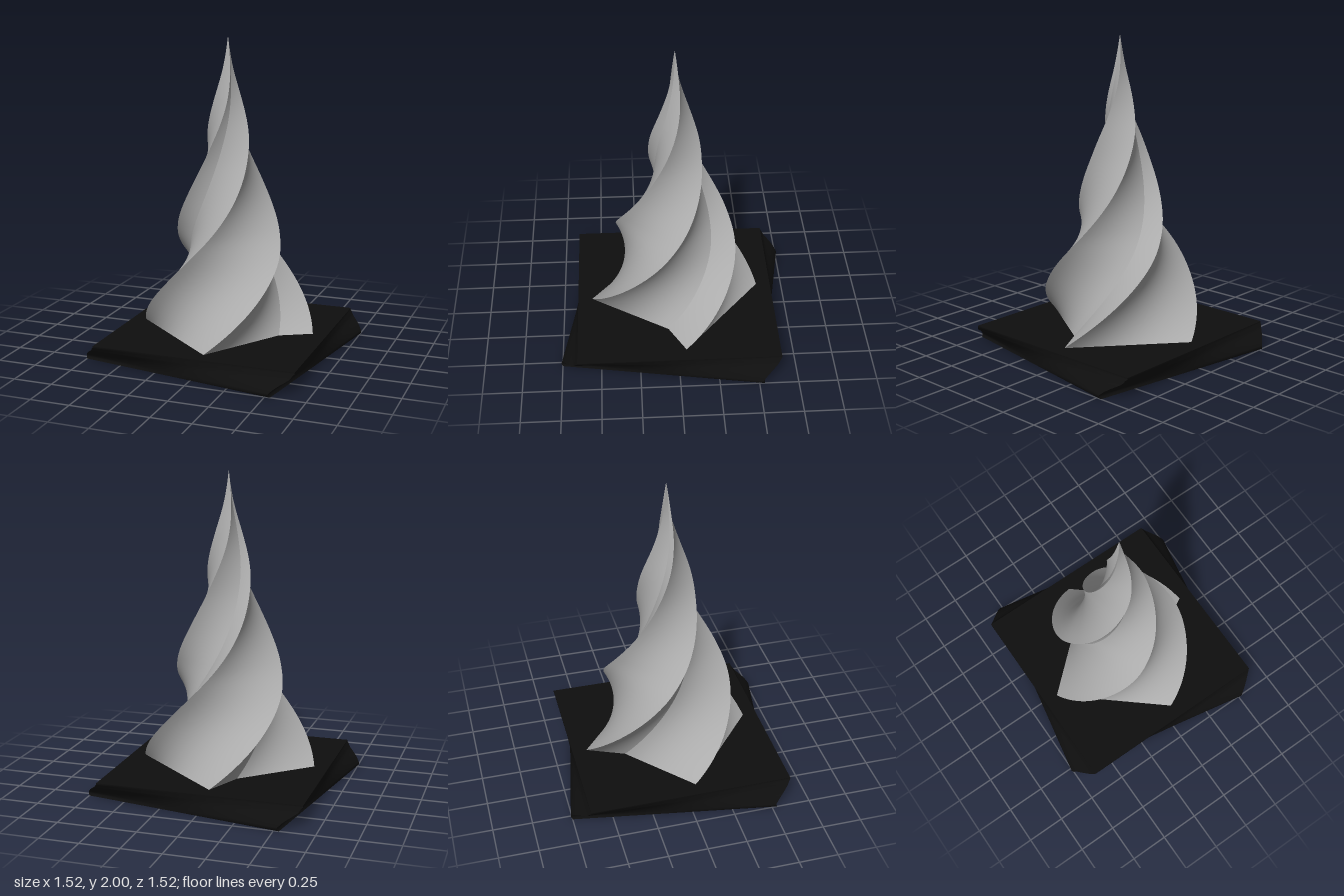
import * as THREE from 'three';

const silver = new THREE.MeshStandardMaterial({ color: 0xacacac });
silver.name = 'silver grey';
const black = new THREE.MeshStandardMaterial({ color: 0x0e0e0e });
black.name = 'black';

// Point on a section: angle in degrees from +z towards +x, radius r
const polar = (deg, r) => {
  const a = THREE.MathUtils.degToRad(deg);
  return new THREE.Vector2(r * Math.sin(a), r * Math.cos(a));
};

// One face of a twisted column, between section points a and b.
// levels: list of { y, scale, turn } from bottom to top.
function twistedFace(a, b, levels, across) {
  const pos = [], index = [];
  for (const { y, scale, turn } of levels) {
    const t = THREE.MathUtils.degToRad(turn), c = Math.cos(t), s = Math.sin(t);
    for (let i = 0; i <= across; i++) {
      const p = a.clone().lerp(b, i / across).multiplyScalar(scale);
      pos.push(p.x * c + p.y * s, y, p.y * c - p.x * s);
    }
  }
  const w = across + 1;
  for (let j = 0; j < levels.length - 1; j++) {
    for (let i = 0; i < across; i++) {
      const k = j * w + i;
      index.push(k, k + 1, k + w + 1, k, k + w + 1, k + w);
    }
  }
  const g = new THREE.BufferGeometry();
  g.setAttribute('position', new THREE.Float32BufferAttribute(pos, 3));
  g.setIndex(index);
  g.computeVertexNormals();
  return g;
}

// Whole column: one smooth face per side, so corners stay sharp
function twistedColumn(name, section, levels, across, material) {
  const group = new THREE.Group();
  group.name = name;
  section.forEach((p, i) => {
    const q = section[(i + 1) % section.length];
    const mesh = new THREE.Mesh(twistedFace(p, q, levels, across), material);
    mesh.name = `${name}Side${i + 1}`;
    group.add(mesh);
  });
  return group;
}

export function createModel() {
  const model = new THREE.Group();
  model.name = 'twistedSpire';

  // Spire: square section with a notch in two opposite sides
  const section = [[4.5, 1], [80.5, 0.66], [94.5, 1], [184.5, 1], [205, 0.63], [274.5, 1]]
    .map(([deg, r]) => polar(deg, r));
  const profile = new THREE.SplineCurve([
    [0.56, 0.13], [0.47, 0.42], [0.405, 0.64], [0.34, 0.8], [0.262, 1.0],
    [0.2, 1.2], [0.15, 1.4], [0.09, 1.6], [0.036, 1.8], [0.001, 2],
  ].map(([r, y]) => new THREE.Vector2(r, y)));
  const spireLevels = profile.getPoints(110).map((p) => ({
    y: p.y, scale: p.x, turn: 130 * (p.y - 0.13),
  }));
  model.add(twistedColumn('spire', section, spireLevels, 10, silver));

  // Plinth: square slab whose lower part twists outwards
  const square = [45, 135, 225, 315].map((deg) => polar(deg, 0.92));
  const plinthLevels = [
    [0, -9.6], [0.012, -10.6], [0.025, -10.2], [0.045, -8.5], [0.06, -6.8], [0.075, -4.6],
    [0.09, -2.4], [0.1, -1.6], [0.115, -0.8], [0.122, 0], [0.132, 0],
  ].map(([y, turn]) => ({ y, scale: 1, turn }));
  model.add(twistedColumn('plinth', square, plinthLevels, 12, black));

  // Flat top and bottom of the plinth
  const cap = (name, y, turn, down) => {
    const g = new THREE.CircleGeometry(0.92, 4);
    g.rotateX(down ? Math.PI / 2 : -Math.PI / 2);
    g.rotateY(THREE.MathUtils.degToRad(45 + turn));
    const mesh = new THREE.Mesh(g, black);
    mesh.name = name;
    mesh.position.y = y;
    model.add(mesh);
  };
  cap('plinthTop', 0.132, 0, false);
  cap('plinthBottom', 0, -9.6, true);

  return model;
}
